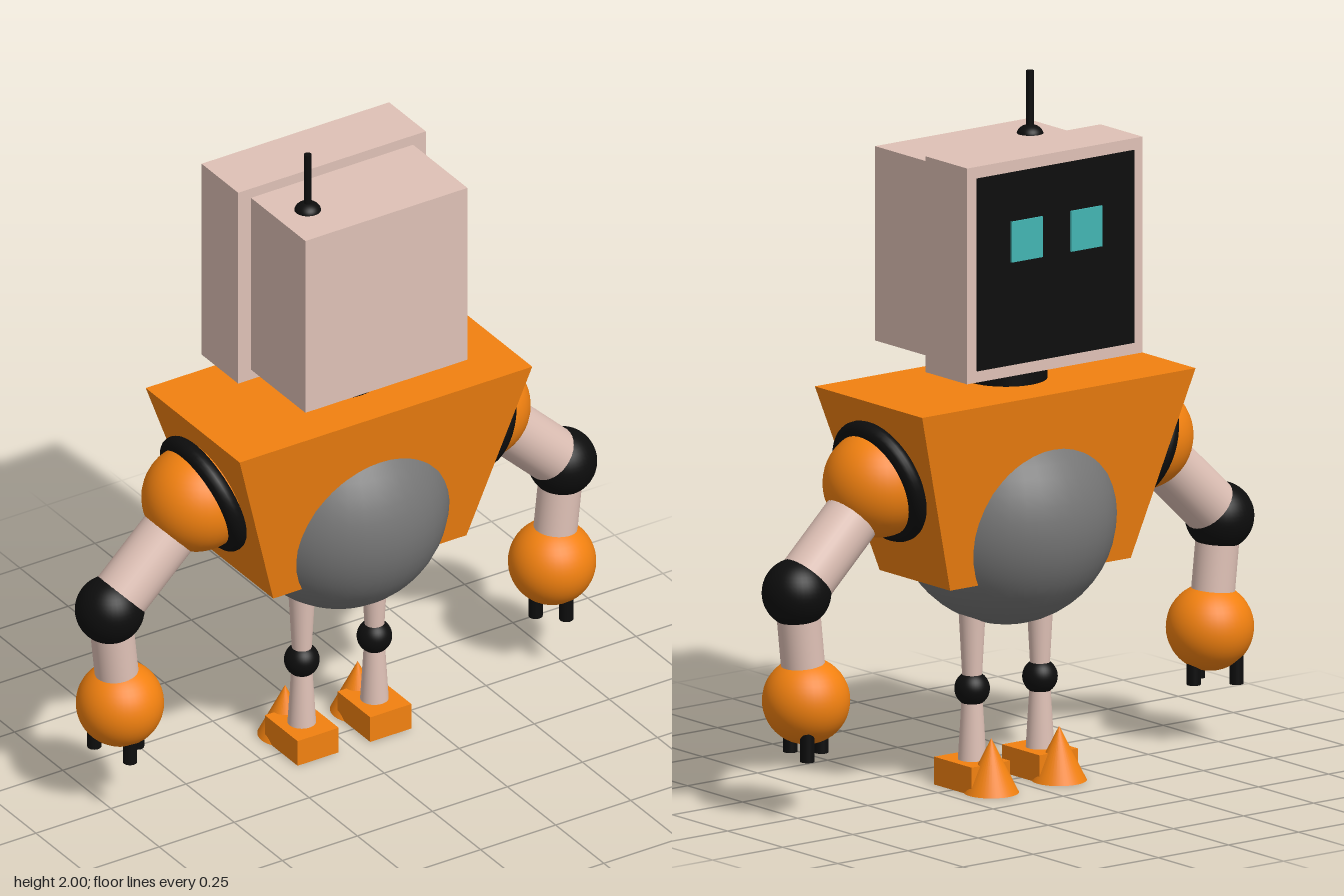
import * as THREE from 'three';

const paint = (color, extra) => {
  const m = new THREE.MeshStandardMaterial(extra);
  m.color.set(color);
  return m;
};

export function createModel() {
  const robot = new THREE.Group();
  robot.name = 'robot';
  const orange = paint(0xf28110), orangeFlat = paint(0xf28110, { flatShading: true });
  const shell = paint(0xdfc1b6), black = paint(0x0d0d0d), grey = paint(0x757575), teal = paint(0x43b5b3);

  const add = (parent, name, geometry, material, x = 0, y = 0, z = 0) => {
    const mesh = new THREE.Mesh(geometry, material);
    mesh.name = name;
    mesh.position.set(x, y, z);
    parent.add(mesh);
    return mesh;
  };
  const ball = (r) => new THREE.SphereGeometry(r, 40, 24);
  const box = (w, h, d) => new THREE.BoxGeometry(w, h, d);
  const UP = new THREE.Vector3(0, 1, 0);

  // Tapered rod from point a to point b
  const rod = (parent, name, a, b, ra, rb, material) => {
    const from = new THREE.Vector3(...a), to = new THREE.Vector3(...b);
    const dir = to.clone().sub(from);
    const mesh = add(parent, name, new THREE.CylinderGeometry(rb, ra, dir.length(), 32), material);
    mesh.position.copy(from).add(to).multiplyScalar(0.5);
    mesh.quaternion.setFromUnitVectors(UP, dir.normalize());
    return mesh;
  };

  // Head: case behind, monitor with screen and eyes facing -z
  const head = new THREE.Group();
  head.name = 'head';
  robot.add(head);
  add(head, 'headCase', box(0.54, 0.56, 0.29), shell, 0.006, 1.54, 0.107);
  add(head, 'monitor', box(0.625, 0.622, 0.19), shell, 0.006, 1.539, -0.125);
  add(head, 'screen', box(0.56, 0.555, 0.02), black, 0.006, 1.539, -0.215);
  for (const s of [-1, 1]) add(head, 'eye', box(0.112, 0.117, 0.02), teal, 0.006 + s * 0.106, 1.617, -0.221);

  // Antenna
  add(head, 'antennaBase', ball(0.038), black, -0.165, 1.816, 0.11).scale.y = 0.75;
  rod(head, 'antenna', [-0.165, 1.82, 0.11], [-0.165, 2, 0.11], 0.011, 0.011, black);

  add(robot, 'neck', new THREE.CylinderGeometry(0.117, 0.117, 0.14, 40), black, 0.008, 1.21, 0);

  // Torso: box narrowed towards the bottom
  const torso = box(0.975, 0.538, 0.487);
  const p = torso.attributes.position;
  for (let i = 0; i < p.count; i++) {
    if (p.getY(i) < 0) {
      p.setX(i, Math.sign(p.getX(i)) * 0.322);
      p.setZ(i, Math.sign(p.getZ(i)) * 0.16);
    }
  }
  torso.computeVertexNormals();
  add(robot, 'torso', torso, orangeFlat, 0.01, 0.893, 0);
  add(robot, 'belly', ball(0.312), grey, 0.008, 0.77, 0);

  for (const s of [-1, 1]) {
    const side = s > 0 ? 'left' : 'right';

    // Arm
    const arm = new THREE.Group();
    arm.name = side + 'Arm';
    robot.add(arm);
    const ring = add(arm, 'shoulderRing', new THREE.TorusGeometry(0.159, 0.027, 16, 48), black, s * 0.45 + 0.008, 0.928, 0);
    ring.quaternion.setFromUnitVectors(new THREE.Vector3(0, 0, 1), new THREE.Vector3(s * 0.954, -0.3, 0));
    add(arm, 'shoulder', ball(0.154), orange, s * 0.466, 0.925, 0);
    rod(arm, 'upperArm', [s * 0.466, 0.925, 0], [s * 0.754, 0.651, 0], 0.082, 0.082, shell);
    add(arm, 'elbow', ball(0.098), black, s * 0.754, 0.651, 0);
    rod(arm, 'forearm', [s * 0.754, 0.651, 0], [s * 0.72, 0.336, 0], 0.062, 0.062, shell);
    add(arm, 'hand', ball(0.124), orange, s * 0.72, 0.336, 0);
    // Two fingers and an inner thumb
    for (const [x, z] of [[0.727, 0.063], [0.765, -0.063], [0.664, 0.002]]) {
      rod(arm, 'finger', [s * x, 0.26, z], [s * x, 0.177, z], 0.02, 0.02, black);
    }

    // Leg
    const leg = new THREE.Group();
    leg.name = side + 'Leg';
    leg.position.x = 0.007 + s * 0.121;
    robot.add(leg);
    rod(leg, 'thigh', [0, 0.283, 0], [0, 0.56, 0], 0.026, 0.041, shell);
    add(leg, 'knee', ball(0.05), black, 0, 0.283, 0);
    rod(leg, 'shin', [0, 0.05, 0], [0, 0.283, 0], 0.042, 0.028, shell);
    add(leg, 'foot', box(0.137, 0.08, 0.17), orange, 0, 0.04, 0);
    add(leg, 'toeCone', new THREE.ConeGeometry(0.078, 0.156, 40), orange, 0, 0.078, -0.087);
  }
  return robot;
}
